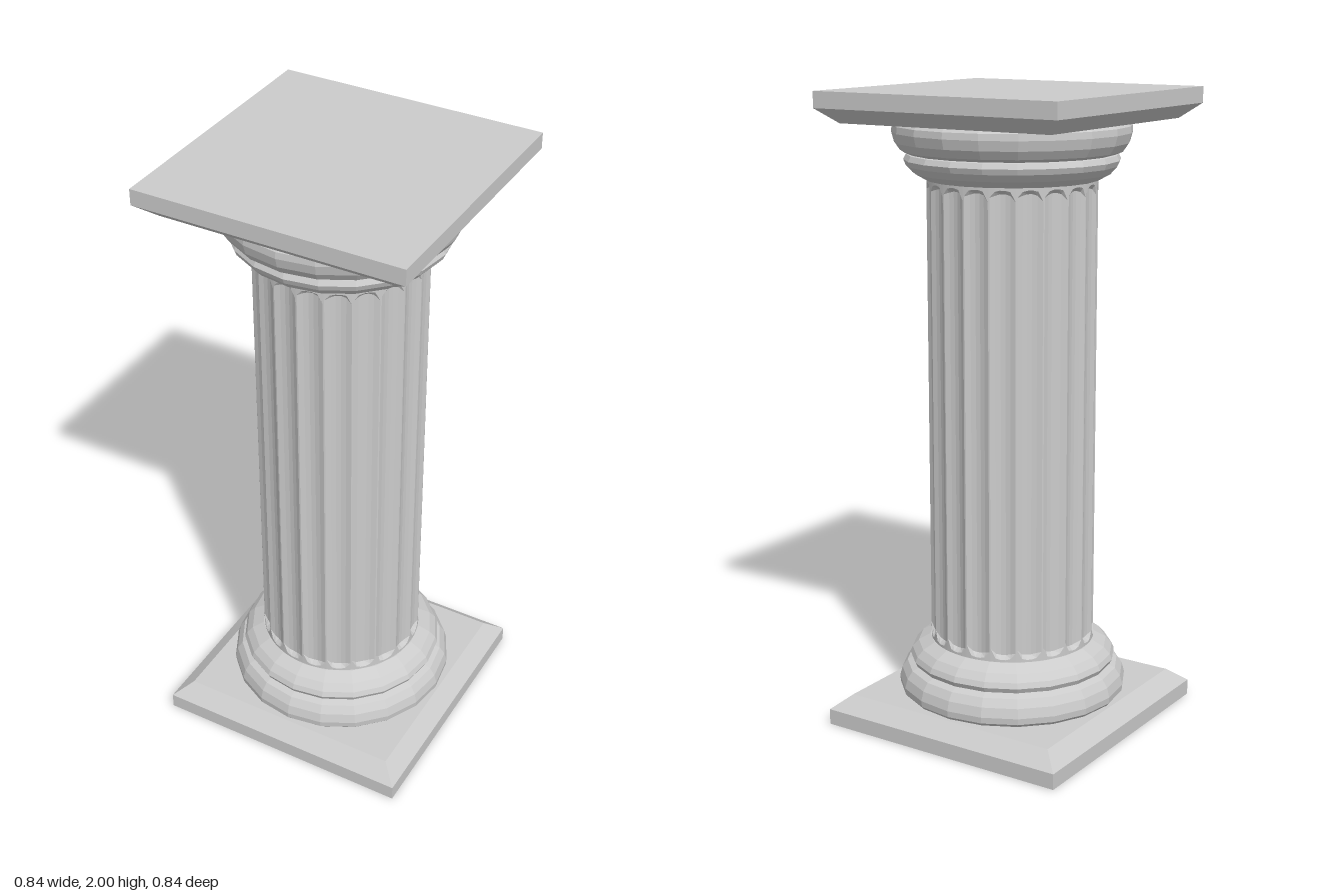
import * as THREE from 'three';

const stone = new THREE.MeshStandardMaterial({ color: 0xcccccc, flatShading: true });
const SIDES = 20;

// Turned solid from [radius, y] pairs, listed bottom to top
function turned(name, profile, sides, start = 0) {
  const points = profile.map(([r, y]) => new THREE.Vector2(r, y));
  const mesh = new THREE.Mesh(new THREE.LatheGeometry(points, sides, start), stone);
  mesh.name = name;
  return mesh;
}

// Square bevelled slab plus two stacked round mouldings
function createEnd(name) {
  const group = new THREE.Group();
  group.name = name;
  const d = Math.SQRT2;
  group.add(turned('squareSlab', [
    [0, 0], [0.422 * d, 0], [0.422 * d, 0.05], [0.368 * d, 0.095], [0, 0.095],
  ], 4, Math.PI / 4));
  group.add(turned('largeMoulding', [
    [0.35, 0.09], [0.363, 0.105], [0.365, 0.125], [0.357, 0.155], [0.34, 0.18], [0.315, 0.19], [0.26, 0.192],
  ], SIDES));
  group.add(turned('smallMoulding', [
    [0.3, 0.185], [0.322, 0.192], [0.33, 0.208], [0.323, 0.225], [0.303, 0.247], [0.265, 0.268], [0.22, 0.27],
  ], SIDES));
  return group;
}

// Shaft with concave flutes whose ends are rounded
function createShaft() {
  const across = [-1.12, -1, -0.6, -0.2, 0.2, 0.6, 1]; // one narrow ridge, then the flute
  const n = across.length;
  const depth = 0.014;
  const shaft = turned('flutedShaft', [
    [0.261, 0.25], [0.261, 0.275], [0.261, 0.287], [0.261, 1.713], [0.261, 1.725], [0.261, 1.75],
  ], SIDES * n);
  const pos = shaft.geometry.attributes.position;
  const rows = 6;
  for (let i = 0; i < pos.count; i++) {
    const column = Math.floor(i / rows), row = i % rows;
    const u = across[column % n];
    const v = Math.min(1, Math.abs(u));
    const angle = (Math.floor(column / n) + (u + 1.06) / 2.12) * (2 * Math.PI / SIDES);
    const inFlute = row === 2 || row === 3;
    const r = 0.261 - (inFlute ? depth * (1 - v * v) : 0);
    let y = pos.getY(i);
    if (row > 0 && row < rows - 1) {
      const rise = 0.022 * (1 - Math.sqrt(1 - v * v));
      y += y < 1 ? rise : -rise;
    }
    pos.setXYZ(i, r * Math.sin(angle), y, r * Math.cos(angle));
  }
  shaft.geometry.computeVertexNormals();
  return shaft;
}

export function createModel() {
  const model = new THREE.Group();
  model.name = 'column';
  const base = createEnd('base');
  // The capital is the base turned upside down
  const capital = createEnd('capital');
  capital.rotation.x = Math.PI;
  capital.position.y = 2;
  model.add(base, createShaft(), capital);
  return model;
}
